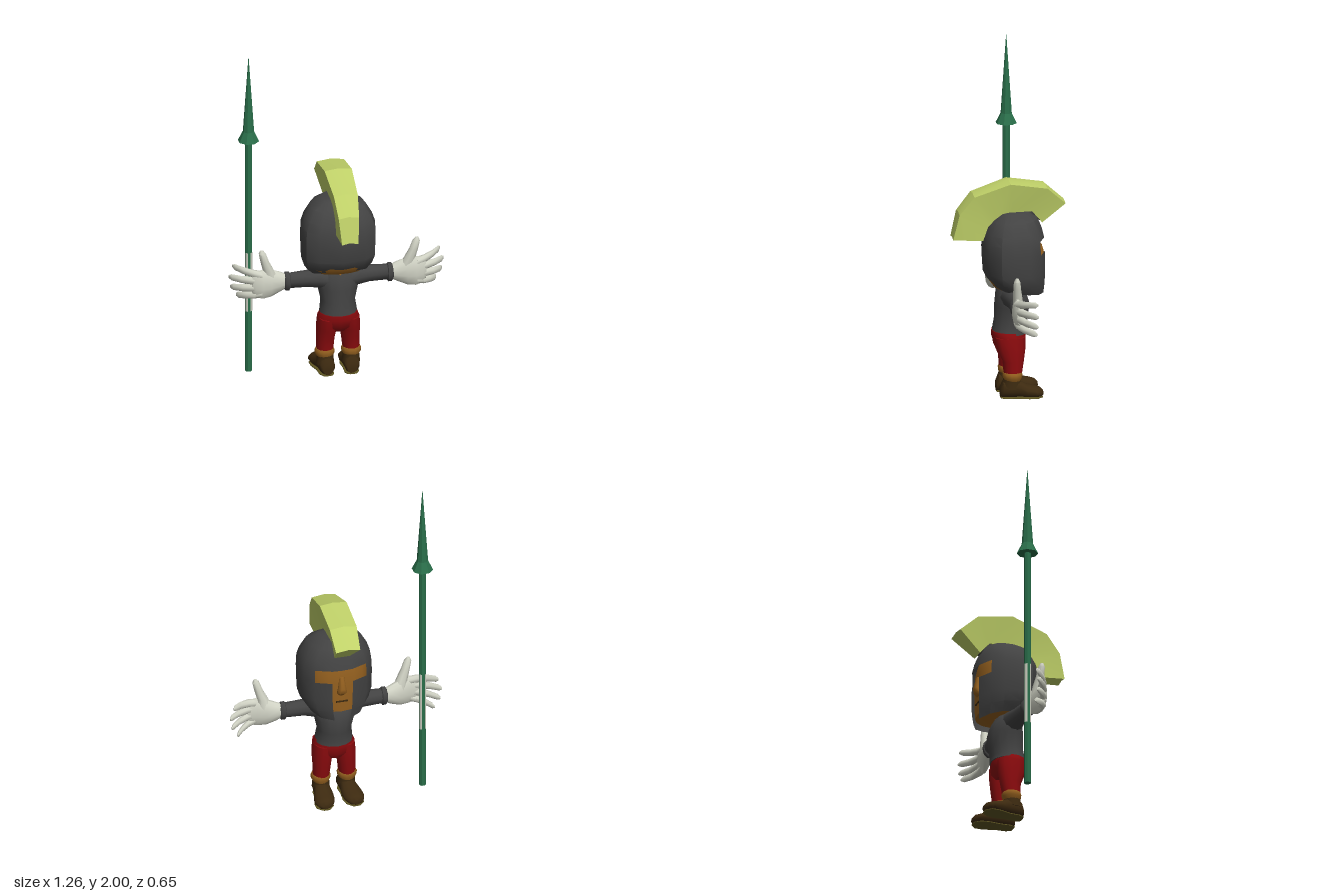
import * as THREE from 'three';
import { toCreasedNormals } from 'three/addons/utils/BufferGeometryUtils.js';

const mat = (name, color, side = THREE.FrontSide) => {
  const m = new THREE.MeshStandardMaterial({ color, side });
  m.name = name;
  return m;
};

// Skin rings of equal length into one closed, outward-facing surface
function skin(rings, crease = 0.9) {
  const n = rings[0].length, pos = [], idx = [];
  rings.forEach(r => r.forEach(p => pos.push(...p)));
  for (let i = 0; i < rings.length - 1; i++)
    for (let j = 0; j < n; j++) {
      const a = i * n + j, b = i * n + (j + 1) % n;
      idx.push(a, b, a + n, b, b + n, a + n);
    }
  [0, rings.length - 1].forEach((r, e) => {
    const c = pos.length / 3;
    pos.push(...[0, 1, 2].map(k => rings[r].reduce((s, p) => s + p[k], 0) / n));
    for (let j = 0; j < n; j++) {
      const a = r * n + j, b = r * n + (j + 1) % n;
      if (e) idx.push(a, b, c); else idx.push(b, a, c);
    }
  });
  // Turn the faces outward if the enclosed volume is negative
  const v = i => new THREE.Vector3().fromArray(pos, i * 3);
  let vol = 0;
  for (let i = 0; i < idx.length; i += 3) vol += v(idx[i]).dot(v(idx[i + 1]).cross(v(idx[i + 2])));
  if (vol < 0) idx.reverse();
  const g = new THREE.BufferGeometry();
  g.setAttribute('position', new THREE.Float32BufferAttribute(pos, 3));
  g.setIndex(idx);
  return toCreasedNormals(g, crease);
}

// Elliptical sections [x, y, z, radiusA, radiusB] stacked along an axis
function loft(axis, sections, n = 10, crease = 0.9) {
  return skin(sections.map(([x, y, z, a, b]) => Array.from({ length: n }, (_, j) => {
    const t = (j + 0.5) / n * Math.PI * 2, c = Math.cos(t), s = Math.sin(t);
    if (axis === 'x') return [x, y + a * c, z + b * s];
    if (axis === 'y') return [x + a * c, y, z + b * s];
    return [x + a * c, y + b * s, z];
  })), crease);
}

// Point on a head-shaped ring; angle 0 is the face (-z). Row: y back, y front, half width, back, front
const headPoint = ([yb, yf, rx, zb, zf], t) => {
  const c = Math.cos(t), s = Math.sin(t), pow = v => Math.sign(v) * Math.abs(v) ** 0.85;
  return [rx * pow(s), yb + (yf - yb) * (1 + c) / 2, c > 0 ? -zf * pow(c) : -zb * pow(c)];
};

const HELMET = [
  [1.10, 1.10, 0.03, 0.015, 0.05],
  [1.09, 1.10, 0.09, 0.05, 0.12],
  [1.05, 1.06, 0.16, 0.105, 0.165],
  [0.98, 1.00, 0.198, 0.14, 0.19],
  [0.93, 0.945, 0.216, 0.155, 0.203],
  [0.86, 0.865, 0.22, 0.157, 0.208],
  [0.75, 0.74, 0.217, 0.15, 0.208],
  [0.71, 0.67, 0.20, 0.13, 0.206],
  [0.675, 0.61, 0.165, 0.10, 0.20],
];

// Open helmet shell with a T-shaped face opening
function helmetGeometry() {
  const half = [0.22, 0.72, 1.15, 1.57, 2.0, 2.55, Math.PI];
  const cols = [...half.map(t => -t).reverse(), 0, ...half], w = cols.length;
  const pos = [], idx = [];
  HELMET.forEach(r => cols.forEach(t => pos.push(...headPoint(r, t))));
  for (let i = 0; i < HELMET.length - 1; i++)
    for (let j = 0; j < w - 1; j++) {
      const mid = Math.abs(cols[j] + cols[j + 1]) / 2;
      if ((i === 4 && mid < 0.7) || (i > 4 && mid < 0.2)) continue;
      const a = i * w + j, b = a + 1;
      idx.push(a, b, a + w, b, b + w, a + w);
    }
  const top = pos.length / 3;
  pos.push(0, 1.105, -0.015);
  for (let j = 0; j < w - 1; j++) idx.push(j + 1, j, top);
  const g = new THREE.BufferGeometry();
  g.setAttribute('position', new THREE.Float32BufferAttribute(pos, 3));
  g.setIndex(idx);
  return toCreasedNormals(g, 0.6);
}

export function createModel() {
  const grey = mat('dark grey', 0x434343);
  const shell = mat('helmet grey', 0x434343, THREE.DoubleSide);
  const lime = mat('lime crest', 0xbfd068);
  const skinTone = mat('tan skin', 0x94601f);
  const glove = mat('pale glove', 0xd2d4c6);
  const red = mat('red cloth', 0x8c0b0e);
  const brown = mat('brown leather', 0x3d2a10);
  const olive = mat('olive sole', 0x5e5522);
  const green = mat('green metal', 0x2a6e4a);

  const root = new THREE.Group();
  const add = (name, geo, material, parent = root) => {
    const m = new THREE.Mesh(geo, material);
    m.name = name;
    parent.add(m);
    return m;
  };

  // Head: a shrunken copy of the helmet form, closed at the chin
  const ring = Array.from({ length: 18 }, (_, j) => (j / 18) * Math.PI * 2);
  const headRows = HELMET.slice(2).map(([yb, yf, rx, zb, zf]) =>
    [yb - 0.02, Math.max(yf - 0.02, 0.66), rx * 0.88, zb * 0.88, zf * 0.9]);
  headRows.push([0.645, 0.645, 0.10, 0.06, 0.12]);
  add('head', skin(headRows.map(r => ring.map(t => headPoint(r, t)))), skinTone);
  add('nose', loft('y', [[0, 0.89, -0.18, 0.015, 0.015], [0, 0.82, -0.19, 0.025, 0.025],
    [0, 0.79, -0.185, 0.032, 0.025], [0, 0.77, -0.175, 0.02, 0.015]], 8), skinTone);
  add('mouth', new THREE.BoxGeometry(0.07, 0.008, 0.008).translate(0, 0.73, -0.187), brown);
  add('neck', new THREE.CylinderGeometry(0.065, 0.08, 0.1, 12).translate(0, 0.64, -0.01), skinTone);

  // Helmet with a crest mount over the brow
  add('helmet', helmetGeometry(), shell);
  add('crestMount', loft('z', [[0, 1.085, -0.06, 0.035, 0.025], [0, 1.085, -0.13, 0.045, 0.033],
    [0, 1.07, -0.175, 0.035, 0.035], [0, 1.05, -0.188, 0.02, 0.02]], 8), grey);

  // Crest: [outer z, outer y, outer half width, inner z, inner y, inner half width]
  const crest = [
    [0.33, 0.95, 0.048, 0.155, 0.935, 0.045],
    [0.295, 1.10, 0.06, 0.125, 1.02, 0.045],
    [0.21, 1.205, 0.07, 0.07, 1.07, 0.045],
    [0.0, 1.275, 0.08, -0.02, 1.09, 0.045],
    [-0.215, 1.24, 0.08, -0.13, 1.10, 0.045],
    [-0.322, 1.145, 0.072, -0.19, 1.03, 0.045],
  ];
  add('crest', skin(crest.map(([oz, oy, ow, iz, iy, iw]) =>
    [[-iw, iy, iz], [-ow, oy, oz], [0, oy + 0.01, oz], [ow, oy, oz], [iw, iy, iz]]), 0.3), lime);

  // Shirt
  add('torso', loft('y', [
    [0, 0.375, -0.005, 0.112, 0.102], [0, 0.40, -0.005, 0.108, 0.10], [0, 0.46, -0.015, 0.10, 0.10],
    [0, 0.54, -0.02, 0.118, 0.103], [0, 0.60, -0.015, 0.13, 0.09], [0, 0.645, -0.01, 0.12, 0.07],
    [0, 0.665, -0.01, 0.085, 0.06]], 14), grey);

  // Hips
  add('hips', loft('y', [[0, 0.39, 0, 0.11, 0.10], [0, 0.36, 0, 0.122, 0.10],
    [0, 0.31, -0.005, 0.122, 0.088], [0, 0.275, -0.01, 0.06, 0.06]], 14), red);

  for (const s of [-1, 1]) {
    const side = new THREE.Group();
    side.name = s > 0 ? 'leftLimbs' : 'rightLimbs';
    root.add(side);
    const limb = (name, axis, rows, n, m) =>
      add(name, loft(axis, rows.map(([x, ...r]) => [x * s, ...r]), n), m, side);

    // Sleeve and cuff
    limb('sleeve', 'x', [[0.06, 0.60, -0.01, 0.065, 0.07], [0.12, 0.605, -0.005, 0.061, 0.06],
      [0.18, 0.607, 0, 0.05, 0.047], [0.30, 0.605, 0.003, 0.046, 0.036]], 10, grey);
    limb('cuff', 'x', [[0.285, 0.603, 0.003, 0.047, 0.036], [0.29, 0.603, 0.003, 0.057, 0.043],
      [0.312, 0.603, 0.003, 0.057, 0.04], [0.32, 0.603, 0.003, 0.045, 0.033]], 10, grey);

    // Hand: palm, four fingers, thumb
    limb('palm', 'x', [[0.305, 0.605, 0.003, 0.042, 0.03], [0.345, 0.605, 0.005, 0.062, 0.034],
      [0.40, 0.605, 0.015, 0.085, 0.036], [0.45, 0.607, 0.027, 0.091, 0.03],
      [0.49, 0.61, 0.025, 0.082, 0.024], [0.51, 0.612, 0.022, 0.06, 0.016]], 12, glove);
    const tips = [[0.665, 0.70, 0.61], [0.632, 0.635, 0.632], [0.595, 0.572, 0.622], [0.555, 0.518, 0.588]];
    for (const [y0, y1, x1] of tips)
      limb('finger', 'x', [0, 0.3, 0.65, 0.92, 1].map((t, i) => [
        0.455 + (x1 - 0.455) * t, y0 + (y1 - y0) * t, 0.028 - 0.088 * t * t,
        [0.025, 0.024, 0.021, 0.019, 0.008][i], [0.024, 0.022, 0.018, 0.014, 0.006][i]]), 8, glove);
    limb('thumb', 'y', [[0.395, 0.62, 0.012, 0.045, 0.03], [0.415, 0.69, 0.02, 0.034, 0.028],
      [0.438, 0.75, 0.027, 0.026, 0.023], [0.452, 0.80, 0.03, 0.022, 0.019],
      [0.456, 0.82, 0.03, 0.01, 0.009]], 8, glove);

    // Trouser leg, ankle and shoe
    limb('trouserLeg', 'y', [[0.065, 0.36, 0, 0.057, 0.09], [0.068, 0.29, -0.005, 0.06, 0.082],
      [0.073, 0.22, -0.015, 0.053, 0.062], [0.077, 0.145, -0.012, 0.049, 0.053]], 12, red);
    limb('ankle', 'y', [[0.078, 0.155, -0.01, 0.052, 0.053], [0.078, 0.145, -0.01, 0.058, 0.057],
      [0.078, 0.125, -0.01, 0.057, 0.056], [0.077, 0.10, -0.01, 0.042, 0.046]], 12, skinTone);
    limb('shoe', 'z', [[0.07, 0.04, 0.06, 0.03, 0.03], [0.072, 0.055, 0.045, 0.044, 0.052],
      [0.075, 0.058, 0.0, 0.048, 0.057], [0.078, 0.055, -0.045, 0.05, 0.052],
      [0.083, 0.042, -0.09, 0.06, 0.04], [0.088, 0.036, -0.14, 0.06, 0.034],
      [0.09, 0.032, -0.17, 0.045, 0.028], [0.09, 0.028, -0.185, 0.02, 0.016]], 12, brown);
    limb('shoeTop', 'y', [[0.076, 0.06, -0.005, 0.052, 0.058], [0.076, 0.117, -0.007, 0.047, 0.05]], 12, brown);
    limb('sole', 'z', [[0.07, 0.006, 0.058, 0.03, 0.005], [0.073, 0.006, 0.03, 0.046, 0.006],
      [0.077, 0.006, -0.03, 0.046, 0.006], [0.085, 0.006, -0.10, 0.06, 0.006],
      [0.09, 0.006, -0.15, 0.056, 0.006], [0.09, 0.006, -0.182, 0.025, 0.005]], 8, olive);
  }

  // Spear: shaft, flared head and a grip of pale strips
  const spear = new THREE.Group();
  spear.name = 'spear';
  spear.position.set(-0.51, 0, -0.08);
  root.add(spear);
  add('shaft', loft('y', [[0, 0.02, 0, 0.021, 0.021], [0, 1.5, 0, 0.021, 0.021]], 8, 0.3), green, spear);
  add('spearHead', loft('y', [[0, 1.475, 0, 0.062, 0.062], [0, 1.535, 0, 0.033, 0.033],
    [0, 2.0, 0, 0.001, 0.001]], 8, 0.3), green, spear);
  for (let i = 0; i < 4; i++)
    add('gripStrip', new THREE.CylinderGeometry(0.022, 0.022, 0.37, 1, 1, true,
      (i * 2 + 0.5) * Math.PI / 4, Math.PI / 4).translate(0, 0.585, 0), glove, spear);

  return root;
}
